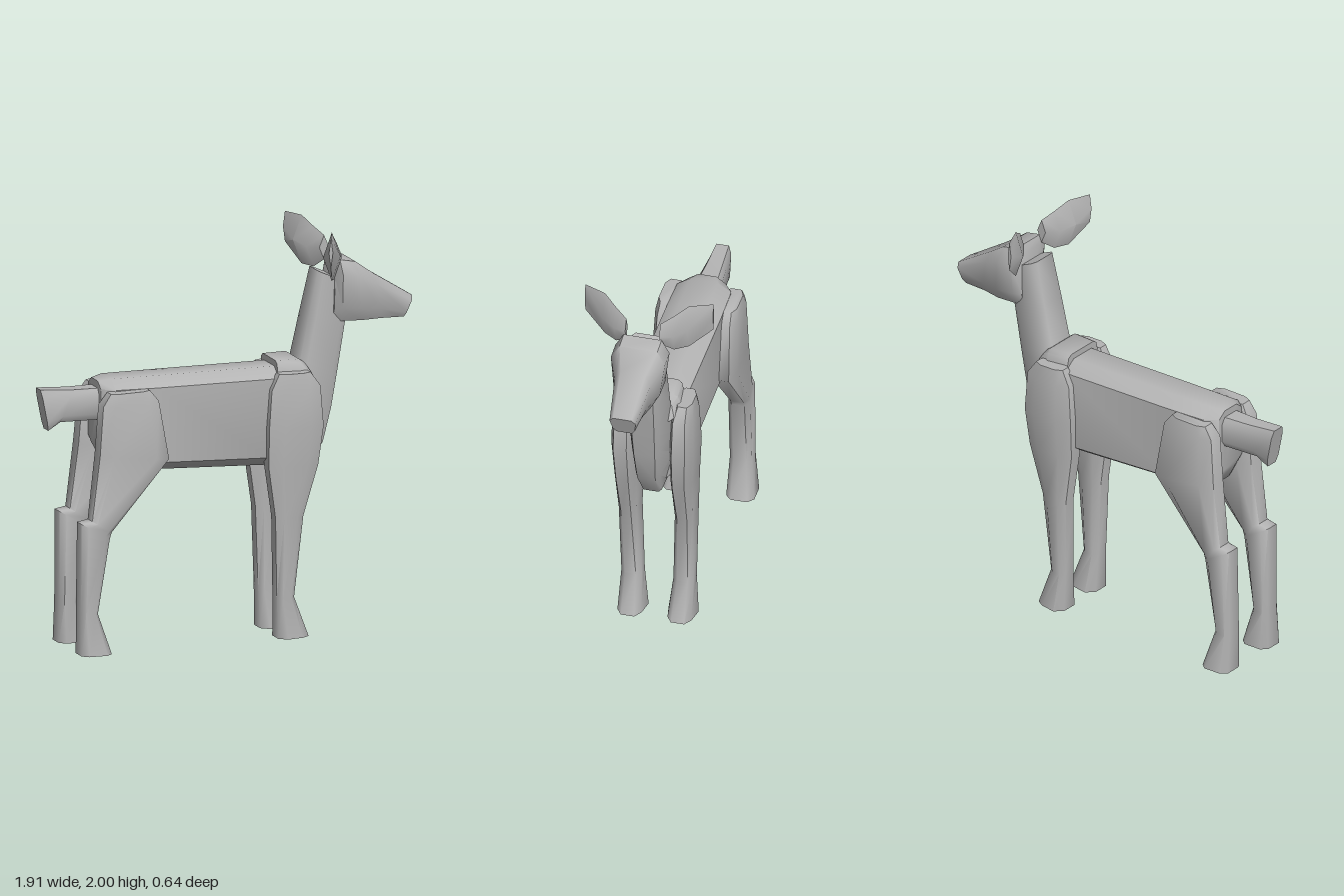
import * as THREE from 'three';
import { toCreasedNormals } from 'three/addons/utils/BufferGeometryUtils.js';

const coat = new THREE.MeshStandardMaterial({ color: 0xb4b4b4 });
coat.name = 'grey coat';

// Skins a list of rings (equal point counts) and caps both ends.
function loft(rings, crease = 0.95) {
  const n = rings[0].length, pos = rings.flat(2), idx = [];
  for (let r = 0; r < rings.length - 1; r++) {
    for (let i = 0; i < n; i++) {
      const a = r * n + i, b = r * n + (i + 1) % n;
      idx.push(a, b, b + n, a, b + n, a + n);
    }
  }
  const last = (rings.length - 1) * n;
  for (let i = 1; i < n - 1; i++) {
    idx.push(0, i + 1, i, last, last + i, last + i + 1);
  }
  // Turn the faces outward when the enclosed volume comes out negative.
  const p = (i) => new THREE.Vector3().fromArray(pos, i * 3);
  let volume = 0;
  for (let i = 0; i < idx.length; i += 3) {
    volume += p(idx[i]).dot(p(idx[i + 1]).cross(p(idx[i + 2])));
  }
  if (volume < 0) idx.reverse();
  const g = new THREE.BufferGeometry();
  g.setAttribute('position', new THREE.Float32BufferAttribute(pos, 3));
  g.setIndex(idx);
  return toCreasedNormals(g, crease);
}

// Chamfered cross-section from (x0,y0) to (x1,y1), with a half width at each end.
function section([x0, y0, x1, y1, w0, w1, zc = 0], cut, keep) {
  const at = (t, z) => [x0 + (x1 - x0) * t, y0 + (y1 - y0) * t, zc + z];
  return [
    at(0, -w0 * keep), at(cut, -w0), at(1 - cut, -w1), at(1, -w1 * keep),
    at(1, w1 * keep), at(1 - cut, w1), at(cut, w0), at(0, w0 * keep),
  ];
}

export function createModel() {
  const model = new THREE.Group();
  model.name = 'deer';

  const add = (name, geometry) => {
    const mesh = new THREE.Mesh(geometry, coat);
    mesh.name = name;
    model.add(mesh);
  };
  const part = (name, rows, cut = 0.15, keep = 0.6) =>
    add(name, loft(rows.map((r) => section(r, cut, keep))));

  // Trunk, rump to shoulders: belly point, back point, half widths
  part('body', [
    [-0.67, 1.0, -0.67, 1.32, 0.09, 0.09],
    [-0.61, 0.9, -0.61, 1.33, 0.13, 0.135],
    [-0.4, 0.868, -0.4, 1.33, 0.14, 0.14],
    [0.17, 0.845, 0.23, 1.33, 0.14, 0.14],
    [0.34, 0.83, 0.35, 1.32, 0.1, 0.115],
  ], 0.1, 0.5);

  // Chest and neck: nape point, throat point, half widths
  part('neck', [
    [0.3, 0.83, 0.4, 0.795, 0.06, 0.05],
    [0.28, 1.0, 0.49, 0.93, 0.1, 0.06],
    [0.3, 1.2, 0.53, 1.1, 0.11, 0.07],
    [0.36, 1.34, 0.56, 1.28, 0.095, 0.075],
    [0.41, 1.56, 0.6, 1.53, 0.09, 0.08],
    [0.46, 1.78, 0.6, 1.72, 0.08, 0.08],
  ], 0.15, 0.75);

  // Raised plate where the neck meets the back
  part('withers', [
    [0.23, 1.29, 0.23, 1.36, 0.12, 0.11],
    [0.34, 1.29, 0.35, 1.36, 0.135, 0.12],
    [0.43, 1.25, 0.38, 1.34, 0.12, 0.1],
  ], 0.2, 0.8);

  // Head, back of skull to nose: jaw point, crown point, half widths
  part('head', [
    [0.53, 1.53, 0.54, 1.8, 0.09, 0.09],
    [0.57, 1.528, 0.56, 1.835, 0.115, 0.135],
    [0.68, 1.524, 0.64, 1.82, 0.115, 0.135],
    [0.79, 1.52, 0.74, 1.75, 0.075, 0.09],
    [0.91, 1.515, 0.95, 1.62, 0.055, 0.065],
  ], 0.22, 0.7);

  // Tail, root to tuft
  part('tail', [
    [-0.62, 1.13, -0.62, 1.285, 0.07, 0.07],
    [-0.86, 1.13, -0.8, 1.285, 0.055, 0.055],
    [-0.92, 1.09, -0.96, 1.295, 0.045, 0.045],
  ], 0.2, 0.7);

  for (const side of [1, -1]) {
    const tag = side > 0 ? 'PlusZ' : 'MinusZ';
    const legRows = (rows) => rows.map((r) => [...r.slice(0, 6), r[6] * side]);

    // Legs, shoulder to hoof: rear point, front point, half widths, sideways offset
    part('foreLeg' + tag, legRows([
      [0.22, 1.31, 0.38, 1.31, 0.04, 0.04, 0.15],
      [0.18, 1.23, 0.43, 1.24, 0.055, 0.055, 0.145],
      [0.165, 1.04, 0.445, 1.04, 0.065, 0.06, 0.145],
      [0.165, 0.85, 0.42, 0.85, 0.06, 0.055, 0.14],
      [0.2, 0.6, 0.345, 0.6, 0.055, 0.045, 0.14],
      [0.21, 0.2, 0.3, 0.2, 0.055, 0.05, 0.13],
      [0.215, 0, 0.375, 0, 0.075, 0.06, 0.125],
    ]), 0.25, 0.55);

    part('hindLeg' + tag, legRows([
      [-0.65, 1.28, -0.45, 1.285, 0.045, 0.045, 0.15],
      [-0.69, 1.22, -0.405, 1.23, 0.06, 0.06, 0.145],
      [-0.71, 0.98, -0.355, 0.94, 0.065, 0.065, 0.15],
      [-0.75, 0.66, -0.65, 0.6, 0.055, 0.055, 0.155],
      [-0.805, 0.65, -0.66, 0.57, 0.055, 0.055, 0.155],
      [-0.808, 0.2, -0.72, 0.2, 0.06, 0.055, 0.15],
      [-0.81, 0, -0.655, 0, 0.07, 0.07, 0.16],
    ]), 0.2, 0.6);

    // Ear, root to tip: z, low y, high y, rear x, front x
    const earRing = ([z, lo, hi, back, front]) => {
      const mid = (lo + hi) / 2, x = (back + front) / 2;
      return [[x, lo, z], [front, mid, z], [x, hi, z], [back, mid, z]]
        .map(([px, py, pz]) => [px, py, pz * side]);
    };
    add('ear' + tag, loft([
      [0.085, 1.8, 1.92, 0.52, 0.57],
      [0.145, 1.755, 1.955, 0.475, 0.55],
      [0.21, 1.76, 2.0, 0.43, 0.52],
      [0.32, 1.85, 2.0, 0.42, 0.44],
    ].map(earRing), 0.8));
  }
  return model;
}
